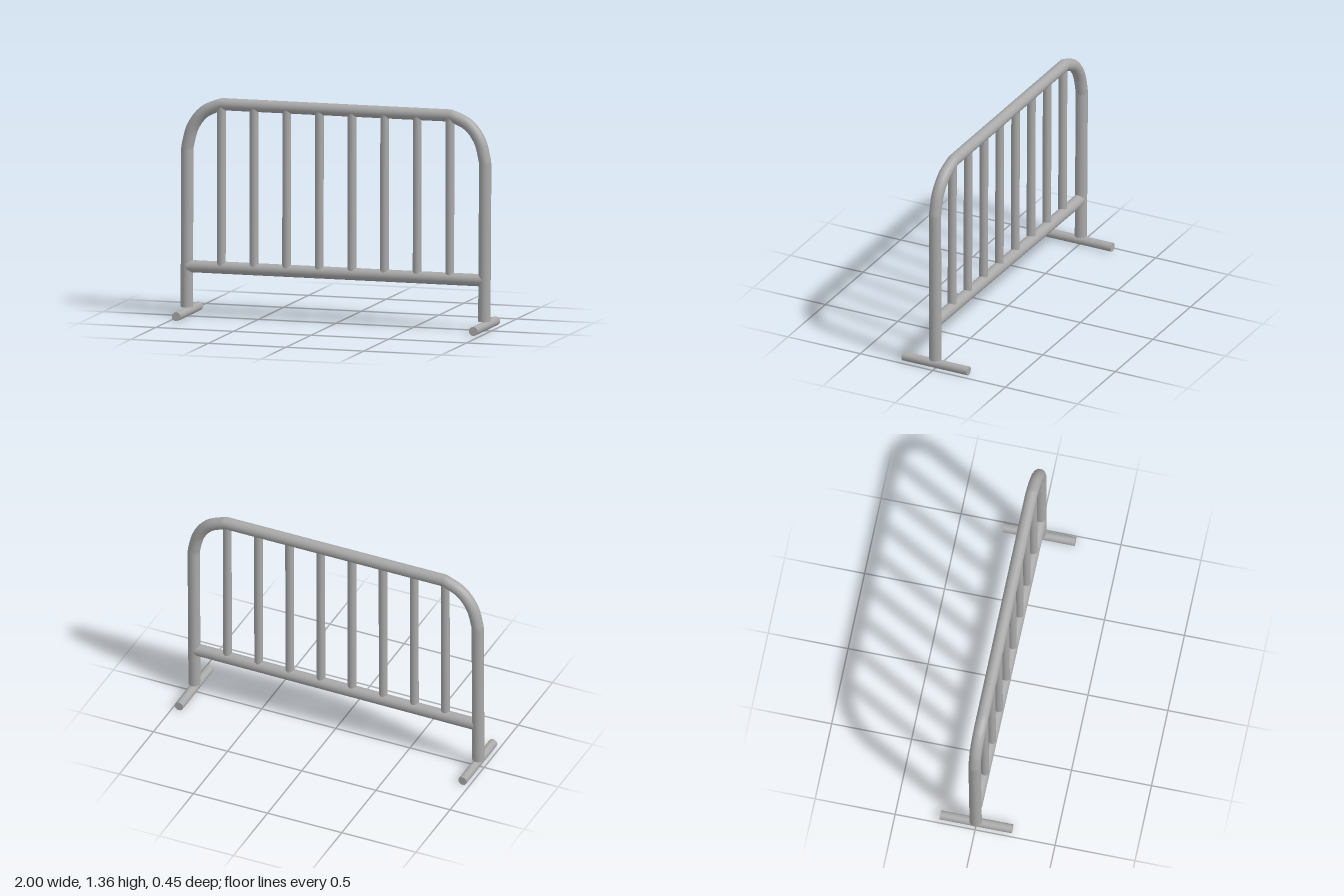
import * as THREE from 'three';

export function createModel() {
  const group = new THREE.Group();
  const steel = new THREE.MeshStandardMaterial({ color: 0xa9a9a9 });
  steel.name = 'galvanised steel';
  const v = (x, y, z) => new THREE.Vector3(x, y, z);

  // Straight capped round bar between two points
  function bar(name, a, b, radius) {
    const dir = b.clone().sub(a);
    const mesh = new THREE.Mesh(new THREE.CylinderGeometry(radius, radius, dir.length(), 20), steel);
    mesh.position.copy(a).add(b).multiplyScalar(0.5);
    mesh.quaternion.setFromUnitVectors(v(0, 1, 0), dir.normalize());
    mesh.name = name;
    group.add(mesh);
  }

  // Bent outer frame: legs, shallow corner bends and top rail, slightly skewed in z
  const R = 0.038;
  const leftZ = 0.005, rightZ = -0.011, railZ = -0.006;
  const rightCorner = [v(-0.962, 1.045, rightZ), v(-0.925, 1.175, rightZ), v(-0.853, 1.268, -0.009), v(-0.74, 1.322, railZ)];
  const leftCorner = [v(0.74, 1.322, railZ), v(0.853, 1.268, -0.002), v(0.925, 1.175, 0.003), v(0.961, 1.045, leftZ)];
  const rightFoot = v(-0.962, 0.056, rightZ + 0.007);
  const leftFoot = v(0.955, 0.058, leftZ);
  const path = new THREE.CurvePath();
  path.add(new THREE.LineCurve3(rightFoot, rightCorner[0]));
  path.add(new THREE.CatmullRomCurve3(rightCorner));
  path.add(new THREE.LineCurve3(rightCorner[3], leftCorner[0]));
  path.add(new THREE.CatmullRomCurve3(leftCorner));
  path.add(new THREE.LineCurve3(leftCorner[3], leftFoot));
  const frame = new THREE.Mesh(new THREE.TubeGeometry(path, 160, R, 20), steel);
  frame.name = 'bentFrame';
  group.add(frame);

  // Closed leg ends and cross feet
  for (const [foot, x] of [[rightFoot, -0.957], [leftFoot, 0.955]]) {
    const cap = new THREE.Mesh(new THREE.CircleGeometry(R, 20), steel);
    cap.rotation.x = Math.PI / 2;
    cap.position.copy(foot);
    cap.name = 'legEndCap';
    group.add(cap);
    bar('crossFoot', v(x, 0.028, -0.225), v(x, 0.028, 0.225), 0.028);
  }

  // Lower rail
  bar('lowerRail', v(-0.955, 0.309, -0.003), v(0.948, 0.312, 0.006), R);

  // Upright bars
  for (let i = 0; i < 8; i++) {
    const x = -0.737 + i * 0.21;
    bar('uprightBar', v(x, 0.315, 0.006), v(x, 1.315, 0.002), 0.027);
  }
  return group;
}
